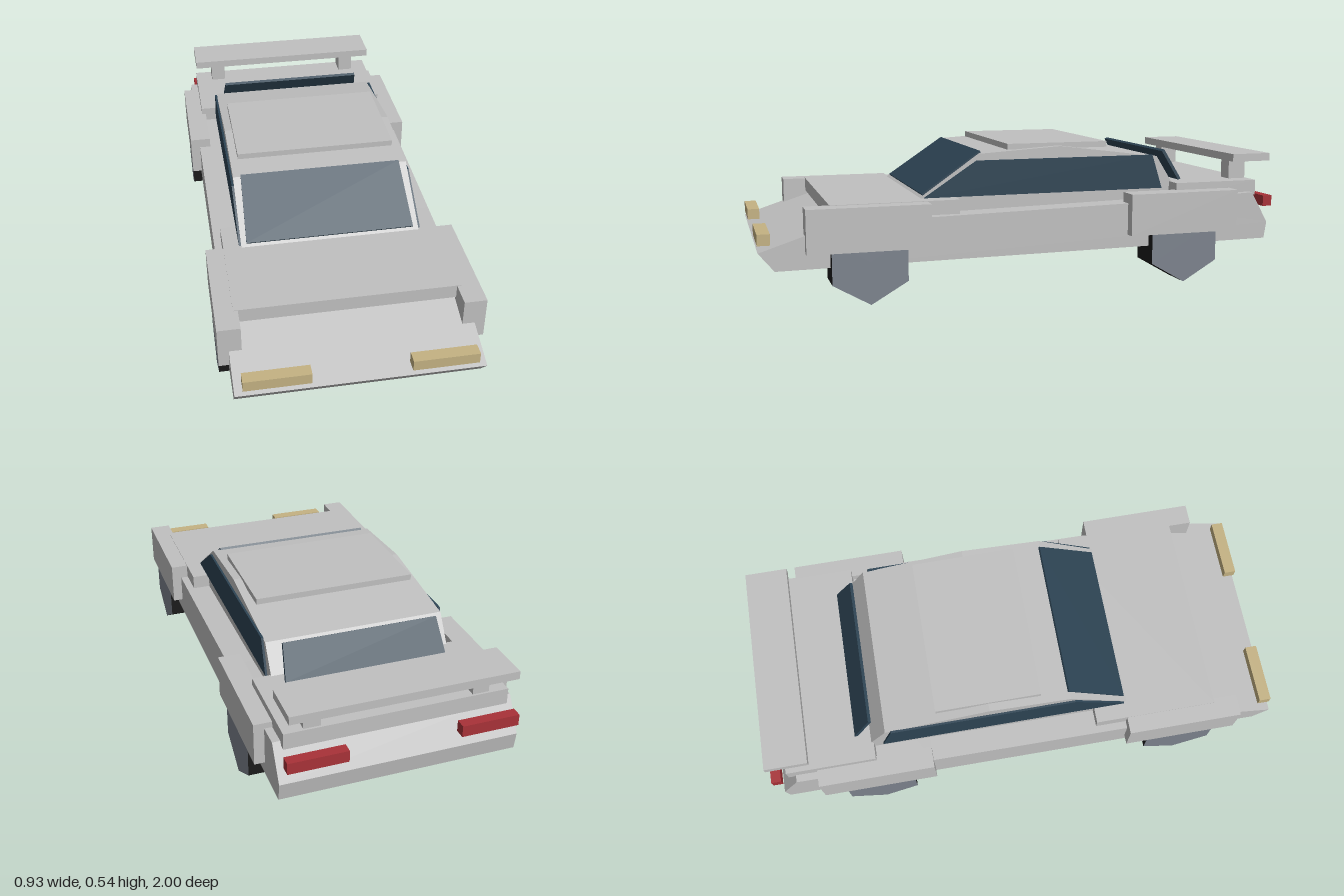
import * as THREE from 'three';

const mat = (name, color) => {
  const m = new THREE.MeshStandardMaterial({ color });
  m.name = name;
  return m;
};

export function createModel() {
  const car = new THREE.Group();
  car.name = 'car';
  const paint = mat('silver paint', 0xc0c0c0);
  const glass = mat('dark glass', 0x2d4454);
  const rubber = mat('black rubber', 0x1a1a1a);
  const hub = mat('wheel grey', 0x7c838d);
  const lamp = mat('headlight amber', 0xc4b283);
  const red = mat('tail light red', 0xa83238);

  const add = (name, geometry, material) => {
    const mesh = new THREE.Mesh(geometry, material);
    mesh.name = name;
    car.add(mesh);
    return mesh;
  };

  // Box given by its limits on each axis
  const box = (name, x0, x1, y0, y1, z0, z1, material) =>
    add(name, new THREE.BoxGeometry(x1 - x0, y1 - y0, z1 - z0)
      .translate((x0 + x1) / 2, (y0 + y1) / 2, (z0 + z1) / 2), material);

  // Side profile of [z, y] points, extruded across x
  const profile = (name, points, x0, x1, material) => {
    const shape = new THREE.Shape(points.map(([z, y]) => new THREE.Vector2(z, y)));
    const geo = new THREE.ExtrudeGeometry(shape, { depth: x1 - x0, bevelEnabled: false });
    return add(name, geo.rotateY(-Math.PI / 2).translate(x1, 0, 0), material);
  };

  // Thin tapered pane leaning from a bottom [z, y] to a top [z, y]
  const pane = (name, bottom, top, halfBottom, halfTop, thickness) => {
    const dz = top[0] - bottom[0], dy = top[1] - bottom[1];
    const geo = new THREE.BoxGeometry(2, Math.hypot(dz, dy), thickness);
    const pos = geo.attributes.position;
    for (let i = 0; i < pos.count; i++) {
      pos.setX(i, pos.getX(i) * (pos.getY(i) > 0 ? halfTop : halfBottom));
    }
    geo.rotateX(Math.atan2(dz, dy));
    geo.translate(0, (bottom[1] + top[1]) / 2, (bottom[0] + top[0]) / 2);
    geo.computeVertexNormals();
    add(name, geo, glass);
  };

  // Wedge body, hood and rear deck
  profile('body', [[0.945, 0.133], [1, 0.2], [0.73, 0.288], [0.4, 0.295],
    [-0.37, 0.31], [-0.9, 0.33], [-0.97, 0.21], [-0.96, 0.145]], -0.428, 0.428, paint);
  box('hood', -0.4, 0.4, 0.298, 0.35, 0.28, 0.75, paint);
  box('rearDeck', -0.4, 0.4, 0.316, 0.375, -0.93, -0.585, paint);

  // Cabin and roof panel
  profile('cabin', [[0.41, 0.29], [0.41, 0.35], [0.18, 0.507], [-0.13, 0.526],
    [-0.53, 0.475], [-0.6, 0.365], [-0.6, 0.3]], -0.334, 0.334, paint);
  box('roofPanel', -0.304, 0.304, 0.515, 0.537, -0.33, 0.07, paint);

  // Windows
  pane('windshield', [0.4, 0.358], [0.175, 0.51], 0.314, 0.305, 0.012);
  pane('rearWindow', [-0.648, 0.376], [-0.58, 0.492], 0.3, 0.288, 0.012);

  for (const [side, s] of [['left', 1], ['right', -1]]) {
    const span = (a, b) => (s > 0 ? [a, b] : [-b, -a]);
    profile(side + 'Window', [[0.4, 0.351], [0.2, 0.482], [-0.508, 0.482], [-0.55, 0.351]],
      ...span(0.333, 0.342), glass);

    // Flared fenders
    box(side + 'FrontFender', ...span(0.384, 0.465), 0.19, 0.348, 0.4, 0.84, paint);
    box(side + 'RearFender', ...span(0.384, 0.465), 0.19, 0.348, -0.815, -0.37, paint);

    // Lights and spoiler strut
    box(side + 'Headlight', ...span(0.17, 0.4), 0.22, 0.26, 0.955, 1, lamp);
    box(side + 'TailLight', ...span(0.2, 0.41), 0.27, 0.312, -1, -0.962, red);
    box(side + 'SpoilerStrut', ...span(0.27, 0.33), 0.37, 0.452, -0.922, -0.85, paint);

    // Six-sided wheels standing on a corner
    for (const [end, z] of [['Front', 0.62], ['Rear', -0.592]]) {
      const geo = new THREE.CylinderGeometry(0.155, 0.155, 0.13, 6).toNonIndexed();
      geo.computeVertexNormals();
      geo.rotateX(Math.PI / 2).rotateZ(0).rotateY(Math.PI / 2);
      const wheel = add(side + end + 'Wheel', geo, [rubber, hub, hub]);
      wheel.position.set(s * 0.397, 0.155, z);
    }
  }

  // Rear spoiler
  box('spoilerWing', -0.4, 0.4, 0.45, 0.48, -0.99, -0.828, paint);
  return car;
}
